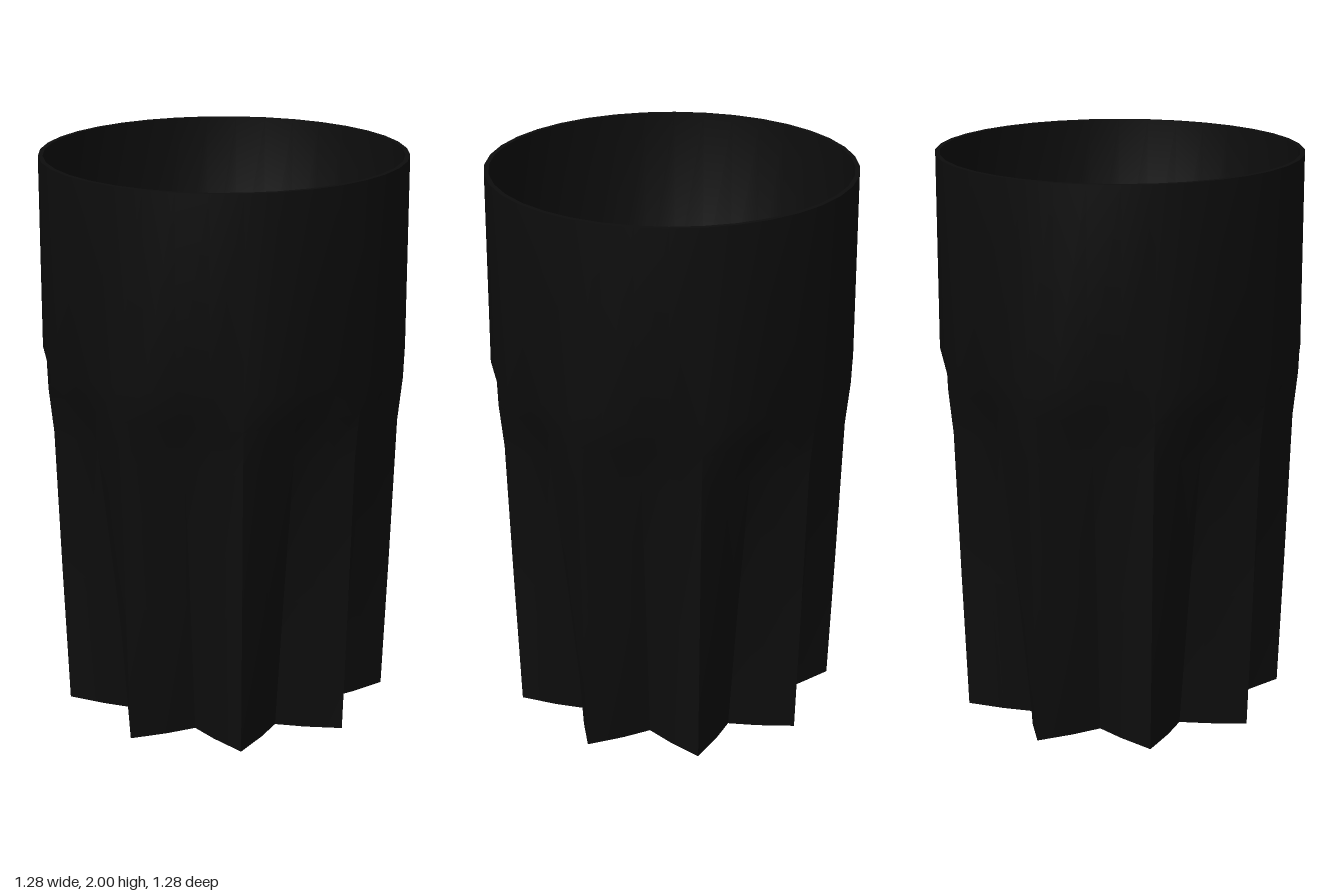
import * as THREE from 'three';
import { toCreasedNormals } from 'three/addons/utils/BufferGeometryUtils.js';

const FLUTES = 9;
const STEPS = 4; // segments per flute
const SEGMENTS = FLUTES * STEPS;

// Lofts rings given as [y, ridge radius, valley radius]; equal radii make a circle
function loft(rings) {
  const positions = [];
  const index = [];
  rings.forEach(([y, ridge, valley = ridge], row) => {
    for (let i = 0; i <= SEGMENTS; i++) {
      const angle = (i / SEGMENTS) * Math.PI * 2;
      const phase = (i % STEPS) / STEPS;
      const t = 1 - Math.abs(1 - 2 * phase); // 0 on a ridge, 1 in a valley
      const r = 1 / ((1 - t) / ridge + t / valley);
      positions.push(r * Math.cos(angle), y, r * Math.sin(angle));
      if (row > 0 && i < SEGMENTS) {
        const b = row * (SEGMENTS + 1) + i;
        const a = b - SEGMENTS - 1;
        index.push(a, b, a + 1, b, b + 1, a + 1);
      }
    }
  });
  const geometry = new THREE.BufferGeometry();
  geometry.setAttribute('position', new THREE.Float32BufferAttribute(positions, 3));
  geometry.setIndex(index);
  return toCreasedNormals(geometry, THREE.MathUtils.degToRad(35));
}

export function createModel() {
  const group = new THREE.Group();
  group.name = 'flutedTumbler';
  const black = new THREE.MeshStandardMaterial({ color: 0x0d0d0d });
  black.name = 'black';

  const add = (name, rings) => {
    const mesh = new THREE.Mesh(loft(rings), black);
    mesh.name = name;
    group.add(mesh);
  };

  // Star-shaped foot
  add('base', [[0, 0.001], [0, 0.587, 0.42]]);

  // Fluted body that opens into a round upper wall
  add('outerWall', [
    [0, 0.587, 0.42],
    [0.5, 0.604, 0.475],
    [1.04, 0.62, 0.54],
    [1.2, 0.636, 0.59],
    [1.32, 0.64],
    [2, 0.638],
  ]);

  // Thin drinking edge
  add('rim', [[2, 0.638], [2, 0.622]]);

  // Hollow inside with a rounded floor
  add('innerWall', [
    [2, 0.622],
    [1.32, 0.618],
    [1.04, 0.51],
    [0.5, 0.45],
    [0.2, 0.4],
    [0.13, 0.34],
    [0.1, 0.24],
    [0.1, 0.001],
  ]);

  return group;
}
